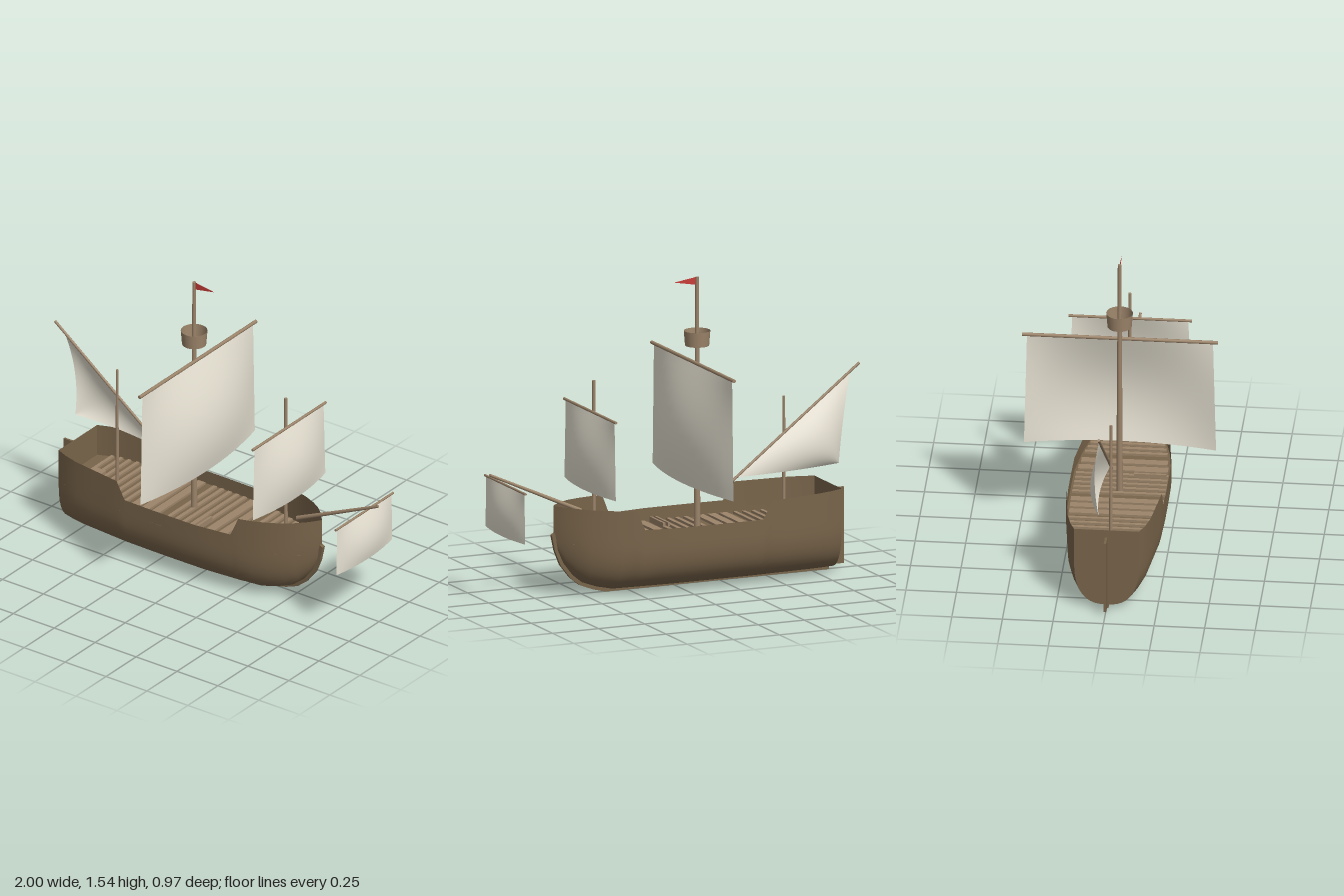
import * as THREE from 'three';

const V = (x, y, z = 0) => new THREE.Vector3(x, y, z);
const mat = (name, color, side = THREE.FrontSide) => {
  const m = new THREE.MeshStandardMaterial({ color, side });
  m.name = name;
  return m;
};

// Linear interpolation through a short list of [x, value] pairs
function along(table, x) {
  for (let i = 1; i < table.length; i++) {
    const [x0, a] = table[i - 1], [x1, b] = table[i];
    if (x <= x1) return a + (b - a) * Math.max(0, (x - x0) / (x1 - x0));
  }
  return table[table.length - 1][1];
}

// Grid surface from a rule fn(u, v), u and v from 0 to 1
function sheet(nu, nv, fn) {
  const pos = [], index = [];
  for (let i = 0; i <= nu; i++)
    for (let j = 0; j <= nv; j++) pos.push(...fn(i / nu, j / nv).toArray());
  for (let i = 0; i < nu; i++)
    for (let j = 0; j < nv; j++) {
      const a = i * (nv + 1) + j, b = a + nv + 1;
      index.push(a, b, a + 1, b, b + 1, a + 1);
    }
  const g = new THREE.BufferGeometry();
  g.setAttribute('position', new THREE.Float32BufferAttribute(pos, 3));
  g.setIndex(index);
  g.computeVertexNormals();
  return g;
}

// Hull lines: half breadth, keel line and rail line along the length
const BREADTH = [[-0.84, 0.16], [-0.78, 0.185], [-0.7, 0.205], [-0.43, 0.237], [-0.2, 0.243], [0.05, 0.24],
  [0.25, 0.215], [0.36, 0.19], [0.45, 0.16], [0.52, 0.125], [0.58, 0.08], [0.62, 0.04], [0.65, 0]];
const KEEL = [[-0.84, 0.02], [0.36, 0.02], [0.43, 0.035], [0.5, 0.06], [0.55, 0.1], [0.6, 0.165], [0.63, 0.23], [0.65, 0.31]];
const RAIL = [[-0.84, 0.437], [-0.43, 0.43], [-0.38, 0.34], [0.25, 0.34], [0.29, 0.437], [0.45, 0.445], [0.65, 0.457]];
const STATIONS = [-0.84, -0.78, -0.7, -0.6, -0.5, -0.43, -0.38, -0.25, -0.1, 0.05, 0.15, 0.25, 0.29, 0.36, 0.43, 0.5, 0.55, 0.6, 0.63, 0.65];
const DECK_Y = 0.27;

function halfAt(x, y) {
  const yb = along(KEEL, x), depth = Math.min(0.24, 0.455 - yb);
  const u = Math.min(1, Math.max(0, (y - yb) / depth));
  return along(BREADTH, x) * Math.pow(1 - Math.pow(1 - u, 2.6), 1 / 2.6);
}

function hullPoint(x, s) {
  const yb = along(KEEL, x), yt = along(RAIL, x);
  const y = yb + (yt - yb) * Math.pow(Math.abs(s), 2.1);
  return V(x, y, Math.sign(s) * halfAt(x, y));
}

export function createModel() {
  const ship = new THREE.Group();
  ship.name = 'sailingShip';
  const hullWood = mat('hullWood', 0x78644a, THREE.DoubleSide);
  const sparWood = mat('sparWood', 0x9c846a, THREE.DoubleSide);
  const cloth = mat('sailCloth', 0xe6e1d2, THREE.DoubleSide);
  const red = mat('flagRed', 0xc83c38, THREE.DoubleSide);

  const add = (name, geo, m) => {
    const mesh = new THREE.Mesh(geo, m);
    mesh.name = name;
    ship.add(mesh);
    return mesh;
  };
  const box = (name, w, h, d, x, y, z, m) => add(name, new THREE.BoxGeometry(w, h, d), m).position.set(x, y, z);
  const pole = (name, a, b, r0, r1 = r0) => {
    const dir = b.clone().sub(a);
    const p = add(name, new THREE.CylinderGeometry(r1, r0, dir.length(), 10), sparWood);
    p.position.copy(a).add(b).multiplyScalar(0.5);
    p.quaternion.setFromUnitVectors(V(0, 1, 0), dir.normalize());
  };

  // Hull shell, stern board and deck floor
  const n = STATIONS.length - 1;
  add('hull', sheet(n, 32, (u, v) => hullPoint(STATIONS[Math.round(u * n)], 1 - 2 * v)), hullWood);
  add('transom', sheet(14, 1, (u, v) => {
    const p = hullPoint(-0.84, u);
    return V(p.x, p.y, p.z * (1 - 2 * v));
  }), hullWood);
  add('deckFloor', sheet(28, 1, (u, v) => {
    const x = -0.84 + 1.47 * u;
    return V(x, DECK_Y, halfAt(x, DECK_Y) * (1 - 2 * v));
  }), hullWood);

  // Keel and curved stem
  const keel = new THREE.Shape();
  keel.moveTo(-0.84, 0);
  [[0.37, 0], [0.44, 0.018], [0.51, 0.045], [0.56, 0.085], [0.615, 0.155], [0.645, 0.23], [0.662, 0.31], [0.645, 0.32],
    [0.625, 0.235], [0.595, 0.17], [0.545, 0.105], [0.49, 0.065], [0.42, 0.04], [0.36, 0.026], [-0.84, 0.026]]
    .forEach(p => keel.lineTo(...p));
  add('keel', new THREE.ExtrudeGeometry(keel, { depth: 0.02, bevelEnabled: false }), hullWood).position.z = -0.01;
  box('rudder', 0.065, 0.385, 0.012, -0.892, 0.215, 0, hullWood);

  // Deck planks: [first x, last x, spacing, width]
  const runs = [[-0.76, -0.42, 0.046, 0.018], [-0.375, -0.22, 0.062, 0.042], [-0.17, 0.03, 0.046, 0.02],
    [0.075, 0.2, 0.07, 0.045], [0.235, 0.57, 0.046, 0.022]];
  for (const [from, to, step, w] of runs)
    for (let x = from; x <= to; x += step)
      box('deckPlank', w, 0.012, 1.9 * halfAt(x + w / 2, DECK_Y), x, DECK_Y + 0.006, 0, sparWood);
  box('hatch', 0.07, 0.03, 0.05, -0.71, DECK_Y + 0.015, 0.015, sparWood);
  for (const x of [-0.005, 0.02]) box('looseTimber', 0.012, 0.02, 0.16, x, DECK_Y + 0.02, 0.14, sparWood);

  // Masts and bowsprit
  pole('mainMast', V(-0.13, 0.2), V(-0.13, 1.54), 0.017, 0.009);
  pole('foreMast', V(0.43, 0.2), V(0.43, 1.07), 0.011, 0.008);
  pole('mizzenMast', V(-0.6, 0.2), V(-0.6, 0.895), 0.009, 0.007);
  pole('bowsprit', V(0.5, 0.42), V(0.995, 0.645), 0.011, 0.007);

  // Crow's nest
  add('crowsNestWall', new THREE.CylinderGeometry(0.066, 0.06, 0.075, 20, 1, true), sparWood).position.set(-0.13, 1.232, 0);
  add('crowsNestFloor', new THREE.CylinderGeometry(0.06, 0.06, 0.008, 20), sparWood).position.set(-0.13, 1.2, 0);

  // Square sails with their yards
  const squareSail = (name, x, yardY, yardHalf, top, bottom, halfTop, halfBottom, bulge, r) => {
    pole(name + 'Yard', V(x, yardY, -yardHalf), V(x, yardY, yardHalf), r);
    add(name + 'Sail', sheet(16, 12, (u, v) => {
      const s = 1 - 2 * u;
      const belly = bulge * Math.sin(Math.PI * 0.78 * v) * (1 - s * s);
      return V(x + belly, top + (bottom - top) * v, s * (halfTop + (halfBottom - halfTop) * v));
    }), cloth);
  };
  squareSail('main', -0.108, 1.113, 0.485, 1.11, 0.505, 0.46, 0.475, 0.088, 0.009);
  squareSail('fore', 0.45, 0.918, 0.305, 0.915, 0.523, 0.287, 0.302, 0.055, 0.007);
  squareSail('sprit', 0.91, 0.588, 0.24, 0.585, 0.333, 0.226, 0.232, 0.038, 0.006);

  // Slanting yard and three-cornered sail at the stern
  pole('lateenYard', V(-0.998, 1.03, -0.024), V(-0.287, 0.48, -0.024), 0.007);
  const head = V(-0.945, 0.985, -0.028), tack = V(-0.335, 0.515, -0.028), clew = V(-0.882, 0.537, -0.035);
  add('lateenSail', sheet(14, 12, (s, t) => {
    const p = head.clone().lerp(tack, s).lerp(clew, t);
    const arch = 4 * t * (1 - t);
    p.x += 0.016 * arch * (1 - s);
    p.z -= 0.055 * arch * (0.4 + 0.6 * Math.sin(Math.PI * s));
    return p;
  }), cloth);

  // Pennant
  const pennant = new THREE.Shape([new THREE.Vector2(-0.125, 1.54), new THREE.Vector2(-0.125, 1.5), new THREE.Vector2(-0.005, 1.522)]);
  add('pennant', new THREE.ShapeGeometry(pennant), red);

  return ship;
}
